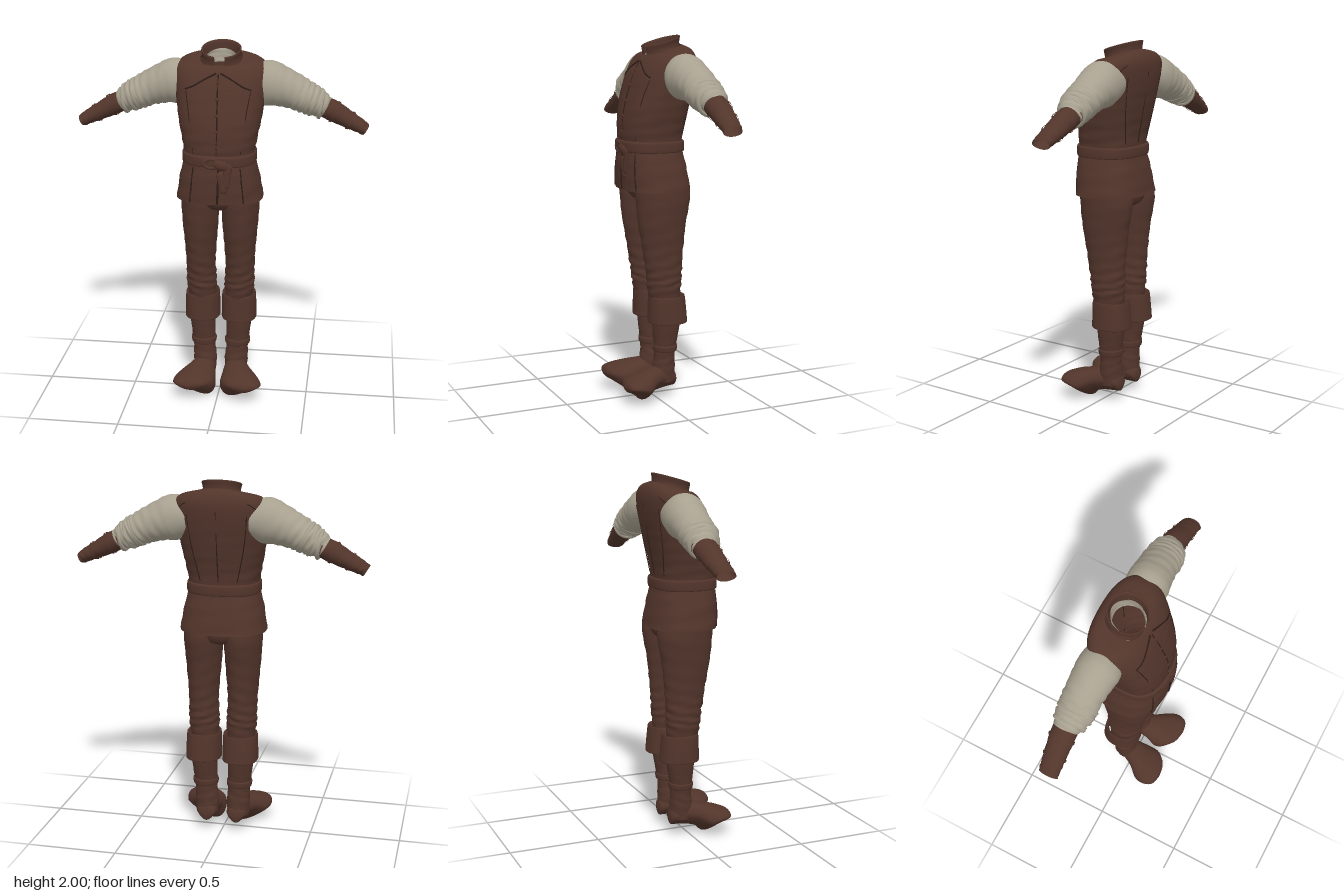
import * as THREE from 'three';

const mat = (name, color) => {
  const m = new THREE.MeshStandardMaterial({ color, side: THREE.DoubleSide });
  m.name = name;
  return m;
};

// Smooth interpolation through a list of cross-section keys
function sample(keys, t) {
  const i = Math.min(Math.floor(t), keys.length - 2), f = t - i;
  const k = (j) => keys[Math.max(0, Math.min(keys.length - 1, j))];
  return Array.from({ length: 7 }, (_, n) => {
    const [a, b, c, d] = [-1, 0, 1, 2].map((o) => k(i + o)[n] ?? 0);
    return b + 0.5 * f * (c - a + f * (2 * a - 5 * b + 4 * c - d + f * (3 * (b - c) + d - a)));
  });
}

// Skin over keys [x, y, z, halfWidth, halfDepth, tilt, wrinkle]; sections lie across the path
function loft(keys, { steps = 6, sides = 40, power = 2, gap = 0, flat = true, foot = false } = {}) {
  const pos = [], idx = [], rows = (keys.length - 1) * steps, cols = gap ? sides + 1 : sides;
  for (let r = 0; r <= rows; r++) {
    const t = r / steps, [x, y, z, a, b, tilt, w] = sample(keys, t);
    let ux = 1, uy = 0;
    if (!flat) {
      const p = sample(keys, Math.max(0, t - 0.3)), q = sample(keys, Math.min(keys.length - 1, t + 0.3));
      const len = Math.hypot(q[0] - p[0], q[1] - p[1]);
      ux = (q[1] - p[1]) / len;
      uy = -(q[0] - p[0]) / len;
    }
    for (let c = 0; c < cols; c++) {
      const th = Math.PI / 2 + gap + (c / sides) * (Math.PI * 2 - 2 * gap);
      const cs = Math.cos(th), sn = Math.sin(th);
      const fold = 1 + w * (Math.sin(2 * th + t * 9) + 0.6 * Math.sin(3 * th - t * 13) + 0.4 * Math.sin(5 * th + t * 5));
      const u = Math.sign(cs) * Math.abs(cs) ** (2 / power) * a * fold;
      const v = Math.sign(sn) * Math.abs(sn) ** (2 / power) * b * fold;
      if (foot) {
        // pinch the underside into a keel that leans inward
        const low = Math.max(0, -sn);
        pos.push(x - u * (1 - 0.35 * low) - tilt * low, y + v, z);
      } else pos.push(x + ux * u, y + uy * u + tilt * v, z + v);
    }
  }
  for (let r = 0; r < rows; r++) for (let c = 0; c < sides; c++) {
    const a = r * cols + c, b = r * cols + ((c + 1) % cols);
    idx.push(a, a + cols, b, b, a + cols, b + cols);
  }
  const g = new THREE.BufferGeometry();
  g.setAttribute('position', new THREE.Float32BufferAttribute(pos, 3));
  g.setIndex(idx);
  g.computeVertexNormals();
  return g;
}

const TORSO = [
  [0, 1.175, -0.015, 0.236, 0.185, 0, 0.006], [0, 1.3, -0.003, 0.215, 0.176, 0, 0.006],
  [0, 1.41, 0.004, 0.19, 0.16, 0, 0.004], [0, 1.5, 0.003, 0.2, 0.163, 0, 0.008],
  [0, 1.6, -0.012, 0.22, 0.168, 0, 0.004], [0, 1.7, -0.035, 0.235, 0.165, 0, 0.003],
  [0, 1.8, -0.06, 0.248, 0.156, 0, 0.002], [0, 1.875, -0.08, 0.248, 0.138, -0.05, 0],
  [0, 1.915, -0.083, 0.2, 0.115, -0.15, 0], [0, 1.925, -0.065, 0.112, 0.1, -0.3, 0],
];
const POWER = 2.5;

// Point on the jerkin surface: side 1 is the front, -1 the back
function onTorso(x, y, side = 1) {
  let i = 0;
  while (i < TORSO.length - 2 && TORSO[i + 1][1] < y) i++;
  const s = sample(TORSO, i + (y - TORSO[i][1]) / (TORSO[i + 1][1] - TORSO[i][1]));
  const k = Math.max(0, 1 - Math.abs(x / s[3]) ** POWER) ** (1 / POWER);
  return new THREE.Vector3(x, y, s[2] + side * s[4] * k);
}

export function createModel() {
  const leather = mat('brownLeather', 0x52352b);
  const linen = mat('creamLinen', 0xa8a190);
  const dark = mat('darkSeam', 0x2e1d18);
  const model = new THREE.Group();
  model.name = 'outfit';

  const add = (parent, name, geo, m, p = [0, 0, 0], s = [1, 1, 1], rz = 0) => {
    const mesh = new THREE.Mesh(geo, m);
    mesh.name = name;
    mesh.position.set(...p);
    mesh.scale.set(...s);
    mesh.rotation.z = rz;
    parent.add(mesh);
    return mesh;
  };
  const cord = (parent, name, pts, side, r = 0.004, m = dark) =>
    add(parent, name, new THREE.TubeGeometry(new THREE.CatmullRomCurve3(pts.map(([x, y]) => onTorso(x, y, side))), 24, r, 5), m);

  // Jerkin with a flared skirt, standing collar and shirt neck
  add(model, 'jerkin', loft(TORSO, { power: POWER, sides: 64 }), leather);
  add(model, 'collar', loft([
    [0, 1.905, -0.065, 0.108, 0.1, -0.3], [0, 1.94, -0.063, 0.1, 0.1, -0.3],
    [0, 1.97, -0.062, 0.107, 0.104, -0.29], [0, 1.965, -0.062, 0.096, 0.094, -0.29],
    [0, 1.91, -0.064, 0.092, 0.09, -0.3],
  ], { gap: 0.28, steps: 4 }), leather);
  add(model, 'shirtNeck', loft([
    [0, 1.86, -0.06, 0.09, 0.08, -0.3, 0.02], [0, 1.9, -0.06, 0.086, 0.084, -0.3, 0.02], [0, 1.925, -0.06, 0.082, 0.086, -0.35, 0.02],
  ], { gap: 0.12, steps: 4 }), linen);

  // Seams: front opening, back panels and clasps
  cord(model, 'frontSeam', [[0, 1.86], [0, 1.75], [0.003, 1.6], [0, 1.45]], 1);
  cord(model, 'skirtSlit', [[0.012, 1.38], [0.01, 1.28], [0.005, 1.18]], 1, 0.006);
  cord(model, 'backSeam', [[0, 1.84], [0, 1.65], [0, 1.46]], -1, 0.003);
  for (let i = 0; i < 5; i++) {
    const p = onTorso(0, 1.82 - i * 0.082);
    add(model, 'clasp', new THREE.SphereGeometry(0.01, 10, 8), leather, [p.x, p.y, p.z + 0.002], [1, 0.9, 0.6]);
  }

  // Waist belt with a knot and hanging tail
  add(model, 'belt', loft([
    [0, 1.383, 0.004, 0.192, 0.164], [0, 1.39, 0.004, 0.2, 0.173],
    [0, 1.435, 0.004, 0.199, 0.173], [0, 1.443, 0.004, 0.19, 0.162],
  ], { power: POWER, sides: 64 }), leather);
  add(model, 'beltKnot', new THREE.SphereGeometry(0.035, 16, 12), leather, [0.025, 1.398, 0.172], [1.3, 0.8, 0.45], -0.3);
  add(model, 'beltLoop', new THREE.TorusGeometry(0.032, 0.012, 8, 20), leather, [-0.025, 1.405, 0.172], [1.2, 0.75, 0.7]);
  [[0.058, 1.335, 0.16, -0.15], [0.03, 1.3, 0.14, 0.2]].forEach(([x, y, len, rz]) =>
    add(model, 'beltTail', new THREE.CapsuleGeometry(0.021, len - 0.06, 4, 10), leather, [x, y, 0.172], [1, 1, 0.4], rz));

  // Seat joining the trouser legs
  add(model, 'trouserSeat', loft([
    [0, 1.1, -0.03, 0.02, 0.07], [0, 1.13, -0.028, 0.13, 0.13], [0, 1.2, -0.02, 0.2, 0.155], [0, 1.3, -0.01, 0.19, 0.15],
  ]), leather);

  for (const s of [1, -1]) {
    const half = new THREE.Group();
    half.name = s > 0 ? 'leftSide' : 'rightSide';
    half.scale.x = s;
    model.add(half);

    // Yoke, side and skirt panel seams
    cord(half, 'yokeSeam', [[0.012, 1.865], [0.07, 1.835], [0.13, 1.8], [0.175, 1.78]], 1, 0.005);
    cord(half, 'skirtSeam', [[0.125, 1.375], [0.135, 1.28], [0.145, 1.18]], 1);
    cord(half, 'sidePanelSeam', [[0.17, 1.77], [0.15, 1.65], [0.125, 1.45]], 1, 0.0025);
    cord(half, 'backPanelSeam', [[0.16, 1.82], [0.14, 1.65], [0.1, 1.46]], -1, 0.003);

    // Rumpled shirt sleeve with bunched folds near the elbow
    add(half, 'sleeve', loft([
      [0.17, 1.795, -0.09, 0.1, 0.1], [0.25, 1.787, -0.09, 0.122, 0.113, 0, 0.004],
      [0.32, 1.768, -0.095, 0.108, 0.107, 0, 0.012], [0.39, 1.742, -0.1, 0.095, 0.1, 0, 0.02],
      [0.44, 1.718, -0.1, 0.088, 0.1, 0, 0.03], [0.48, 1.7, -0.1, 0.083, 0.096, 0, 0.04],
      [0.52, 1.68, -0.105, 0.074, 0.086, 0, 0.04], [0.56, 1.66, -0.11, 0.055, 0.064, 0, 0.03],
    ], { flat: false }), linen);
    for (let i = 0; i < 3; i++) {
      const fold = add(half, 'sleeveFold', new THREE.TorusGeometry(0.078 - i * 0.005, 0.012, 8, 28), linen,
        [0.455 + i * 0.038, 1.71 - i * 0.018, -0.1 - i * 0.003], [1.12, 1, 1]);
      fold.rotation.set(0.1 - i * 0.1, Math.PI / 2, -0.0, 'ZYX');
      fold.rotation.z = -0.42 + i * 0.08;
    }

    // Open leather bracer with straps
    const bracer = [
      [0.535, 1.668, -0.11, 0.054, 0.064, 0, 0.01], [0.6, 1.639, -0.11, 0.056, 0.064, 0, 0.01],
      [0.68, 1.597, -0.105, 0.046, 0.058, 0, 0.015], [0.74, 1.567, -0.1, 0.038, 0.054, 0, 0.02], [0.775, 1.546, -0.096, 0.032, 0.05, 0, 0.04],
    ];
    add(half, 'bracer', loft(bracer, { flat: false }), leather);
    [[0.15, 0.3], [1, 1.15], [2.1, 2.25]].forEach(([a, b]) => add(half, 'bracerStrap',
      loft([a, b].map((t) => sample(bracer, t).map((v, n) => (n === 3 || n === 4 ? v + 0.005 : v))), { flat: false, steps: 2 }), leather));

    // Trouser leg, gathered above the boot
    add(half, 'trouserLeg', loft([
      [0.112, 1.22, -0.02, 0.1, 0.155], [0.111, 1.13, -0.027, 0.104, 0.156, 0, 0.005],
      [0.11, 1.0, -0.022, 0.097, 0.138, 0, 0.008], [0.11, 0.88, -0.026, 0.087, 0.12, 0, 0.012],
      [0.11, 0.78, -0.03, 0.081, 0.108, 0, 0.02], [0.108, 0.7, -0.035, 0.082, 0.1, 0, 0.03],
      [0.106, 0.64, -0.036, 0.083, 0.096, 0, 0.03], [0.103, 0.57, -0.04, 0.075, 0.085],
    ].reverse()), leather);

    // Boot: turned-down cuff, shaft, ankle strap and broad splayed foot
    add(half, 'bootCuff', loft([
      [0.104, 0.45, -0.057, 0.08, 0.088], [0.104, 0.437, -0.058, 0.097, 0.107], [0.104, 0.47, -0.057, 0.098, 0.107],
      [0.103, 0.575, -0.053, 0.095, 0.1], [0.103, 0.588, -0.053, 0.088, 0.094], [0.103, 0.565, -0.053, 0.078, 0.085],
    ], { power: 2.3 }), leather);
    add(half, 'bootShaft', loft([
      [0.09, 0.1, -0.04, 0.062, 0.066], [0.09, 0.18, -0.042, 0.066, 0.062, 0, 0.02], [0.094, 0.25, -0.045, 0.062, 0.057, 0, 0.015],
      [0.098, 0.33, -0.047, 0.066, 0.066, 0, 0.01], [0.103, 0.42, -0.05, 0.072, 0.077], [0.103, 0.5, -0.05, 0.075, 0.08],
    ]), leather);
    add(half, 'ankleStrap', loft([
      [0.096, 0.272, -0.046, 0.064, 0.06], [0.096, 0.277, -0.046, 0.07, 0.066], [0.097, 0.303, -0.046, 0.072, 0.068], [0.097, 0.308, -0.046, 0.066, 0.062],
    ]), leather);
    cord(half, 'shoulderSeam', [[0.12, 1.9], [0.17, 1.88], [0.21, 1.85]], -1, 0.003);
    add(half, 'bootFoot', loft([
      [0.085, 0.1, -0.114, 0.002, 0.002], [0.085, 0.105, -0.105, 0.04, 0.04], [0.087, 0.115, -0.075, 0.058, 0.054],
      [0.092, 0.122, -0.02, 0.066, 0.066], [0.105, 0.113, 0.035, 0.083, 0.07, 0.01], [0.124, 0.086, 0.09, 0.11, 0.086, 0.05],
      [0.135, 0.098, 0.14, 0.114, 0.062, 0.05], [0.148, 0.106, 0.185, 0.092, 0.04, 0.02],
      [0.155, 0.108, 0.21, 0.06, 0.026], [0.16, 0.108, 0.222, 0.002, 0.002],
    ], { foot: true, power: 2.1 }), leather);
  }
  return model;
}
